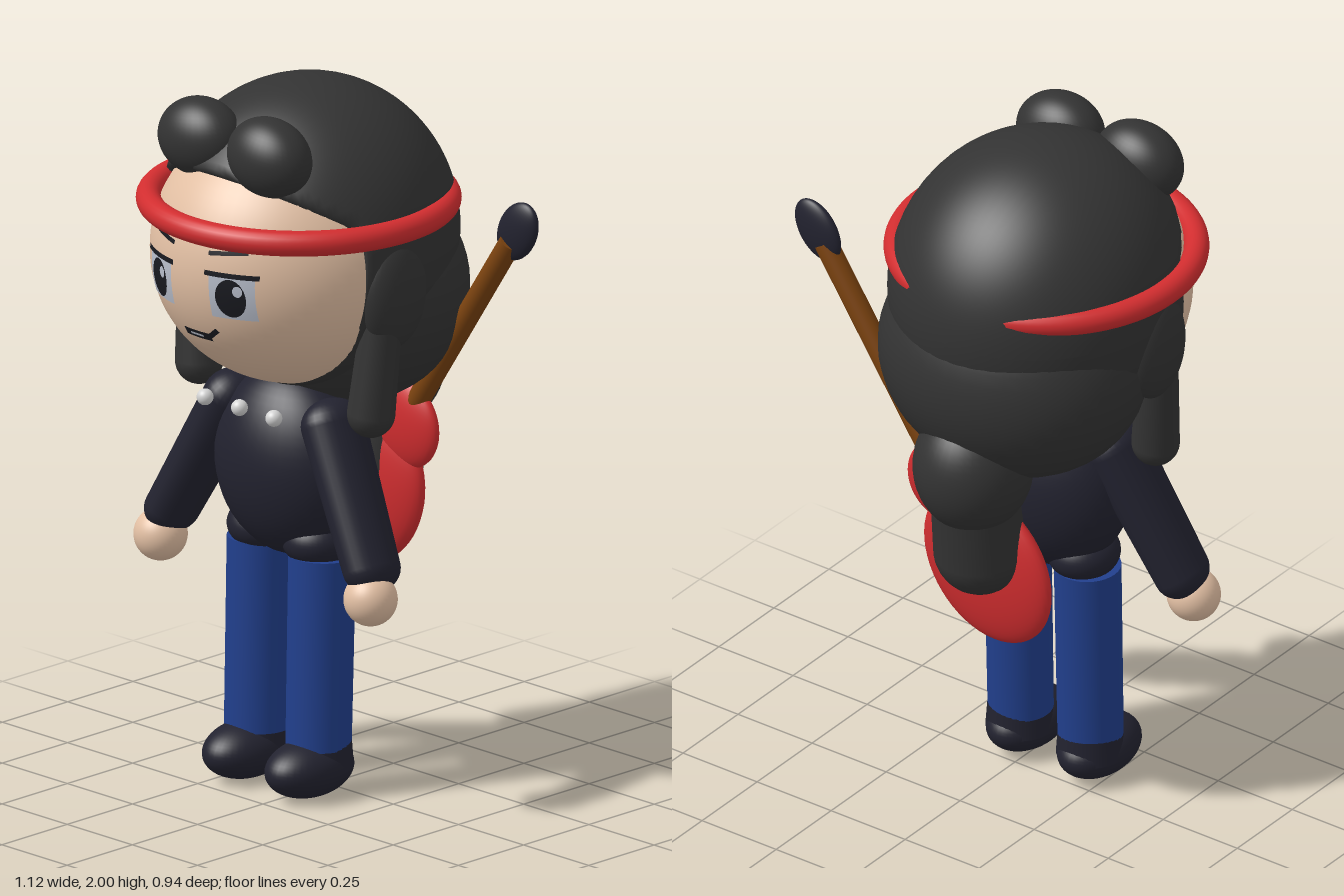
import * as THREE from 'three';

const CX = -0.085; // centre line of the figure

function paint(name, color) {
  const m = new THREE.MeshStandardMaterial({ color });
  m.name = name;
  return m;
}

export function createModel() {
  const hairMat = paint('charcoal hair', 0x333333);
  const skin = paint('skin', 0xe3c0a4);
  const red = paint('red', 0xd12d2f);
  const navy = paint('navy cloth', 0x22222f);
  const denim = paint('blue denim', 0x213f8c);
  const wood = paint('brown wood', 0x7a420f);
  const pearl = paint('pearl', 0xd4d4d4);
  const eyeWhite = paint('eye white', 0xb9bfcc);
  const ink = paint('ink', 0x191a20);

  const root = new THREE.Group();
  root.name = 'figure';
  const figure = new THREE.Group();
  figure.name = 'character';
  figure.position.x = CX;
  root.add(figure);

  function add(name, geo, mat, pos = [0, 0, 0], parent = figure) {
    const m = new THREE.Mesh(geo, mat);
    m.name = name;
    m.position.set(...pos);
    parent.add(m);
    return m;
  }
  function ball(name, mat, pos, radii, parent = figure) {
    return add(name, new THREE.SphereGeometry(1, 40, 28).scale(...radii), mat, pos, parent);
  }
  // tapered limb with rounded ends, flattened or deepened along its local z
  function limb(name, mat, a, b, ra, rb, depth = 1) {
    const A = new THREE.Vector3(...a), B = new THREE.Vector3(...b);
    const len = A.distanceTo(B), pts = [];
    for (let i = 0; i <= 8; i++) {
      const t = -Math.PI / 2 + (i / 8) * Math.PI / 2;
      pts.push(new THREE.Vector2(Math.max(0, rb * Math.cos(t)), rb * Math.sin(t)));
    }
    for (let i = 0; i <= 8; i++) {
      const t = (i / 8) * Math.PI / 2;
      pts.push(new THREE.Vector2(Math.max(0, ra * Math.cos(t)), len + ra * Math.sin(t)));
    }
    const m = add(name, new THREE.LatheGeometry(pts, 32).scale(1, 1, depth), mat, b);
    m.quaternion.setFromUnitVectors(new THREE.Vector3(0, 1, 0), A.sub(B).normalize());
    return m;
  }

  // head
  const H = { y: 1.535, z: 0.03, rx: 0.385, ry: 0.38, rz: 0.42 };
  add('head', new THREE.SphereGeometry(1, 64, 48).scale(H.rx, H.ry, H.rz), skin, [0, H.y, H.z]);

  // face details are thin sheets laid on the curve of the head
  function facePatch(name, geo, mat, x, y, lift) {
    geo.translate(x, y, 0);
    const p = geo.attributes.position;
    for (let i = 0; i < p.count; i++) {
      const u = p.getX(i) / H.rx, v = (p.getY(i) - H.y) / H.ry;
      p.setZ(i, H.z + H.rz * Math.sqrt(Math.max(0, 1 - u * u - v * v)) + lift);
    }
    geo.computeVertexNormals();
    add(name, geo, mat);
  }
  const disc = (rx, ry) => new THREE.RingGeometry(0, 1, 28, 4).scale(rx, ry, 1);
  const strip = (w, h) => new THREE.PlaneGeometry(w, h, 10, 6);
  for (const s of [-1, 1]) {
    facePatch('eyeWhite', strip(0.125, 0.12), eyeWhite, s * 0.135, 1.495, 0.003);
    facePatch('iris', disc(0.042, 0.055), ink, s * 0.135, 1.497, 0.006);
    facePatch('eyeGlint', disc(0.013, 0.016), eyeWhite, s * 0.135 + 0.022, 1.52, 0.008);
    facePatch('upperLash', strip(0.15, 0.014), ink, s * 0.135, 1.562, 0.006);
    facePatch('eyebrow', strip(0.11, 0.012).rotateZ(s * 0.12), ink, s * 0.12, 1.622, 0.004);
  }
  facePatch('mouth', strip(0.1, 0.024), ink, -0.008, 1.36, 0.004);
  facePatch('smirk', strip(0.05, 0.014).rotateZ(0.65), ink, 0.055, 1.375, 0.004);
  facePatch('teeth', strip(0.05, 0.007), eyeWhite, -0.008, 1.36, 0.006);

  // hair cap, cut off along the hairline
  const cap = new THREE.SphereGeometry(1, 72, 72).rotateX(Math.PI / 2).scale(0.405, 0.43, 0.428);
  cap.translate(0, 1.57, -0.003);
  const cp = cap.attributes.position;
  for (let i = 0; i < cp.count; i++) {
    const line = 0.14 + Math.max(0, cp.getY(i) - 1.67) * 1.6;
    cp.setZ(i, Math.min(cp.getZ(i), line));
  }
  cap.computeVertexNormals();
  add('hairCap', cap, hairMat);

  // back hair and tail
  ball('backHair', hairMat, [0, 1.4, -0.12], [0.39, 0.34, 0.33]);
  ball('tailUpper', hairMat, [0, 1.13, -0.305], [0.165, 0.19, 0.165]);
  limb('tailLower', hairMat, [0, 1.05, -0.3], [0, 0.85, -0.275], 0.12, 0.127);

  for (const s of [-1, 1]) {
    // rolled fringe and side locks
    ball('fringeRoll', hairMat, [s * 0.133, 1.865, 0.272], [0.133, 0.11, 0.097]).rotation.z = -s * 0.12;
    ball('sideHair', hairMat, [s * 0.365, 1.48, 0.03], [0.063, 0.16, 0.11]);
    limb('sideLock', hairMat, [s * 0.352, 1.42, 0.06], [s * 0.33, 1.135, 0.08], 0.056, 0.066);

    // arms and hands
    limb('sleeve', navy, [s * 0.19, 1.07, 0.085], [s * 0.382, 0.715, 0.13], 0.076, 0.068, 1.3);
    ball('hand', skin, [s * 0.403, 0.64, 0.155], [0.074, 0.074, 0.074]);

    // legs and shoes
    ball('hip', navy, [s * 0.105, 0.72, 0.055], [0.1, 0.075, 0.105]);
    add('trouserLeg', new THREE.CylinderGeometry(0.092, 0.09, 0.54, 32), denim, [s * 0.118, 0.41, 0.063])
      .rotation.x = -0.025;
    ball('shoe', navy, [s * 0.12, 0.083, 0.107], [0.097, 0.08, 0.143]);
    add('shoeCuff', new THREE.CylinderGeometry(0.088, 0.094, 0.08, 32), navy, [s * 0.119, 0.12, 0.068]);
  }

  // headband
  add('headband', new THREE.TorusGeometry(0.407, 0.035, 20, 96).rotateX(Math.PI / 2), red, [0, 1.665, 0.028]);

  // torso and buttons
  ball('torso', navy, [0, 0.925, 0.055], [0.24, 0.265, 0.175]);
  for (const x of [-0.132, 0, 0.132]) ball('button', pearl, [x, 1.116, 0.255], [0.023, 0.023, 0.023]);

  // guitar slung across the back, built upright and then tilted
  const guitar = new THREE.Group();
  guitar.name = 'guitar';
  guitar.position.set(0, 0.78, -0.238);
  guitar.rotation.z = -0.588;
  figure.add(guitar);
  ball('guitarLowerBody', red, [0, 0, 0], [0.2, 0.235, 0.058], guitar);
  ball('guitarUpperBody', red, [0, 0.255, 0.003], [0.13, 0.125, 0.04], guitar);
  add('guitarNeck', new THREE.CylinderGeometry(0.032, 0.032, 0.72, 24), wood, [0, 0.63, 0], guitar);
  ball('guitarHead', navy, [0, 1.03, -0.003], [0.065, 0.095, 0.027], guitar);

  return root;
}
